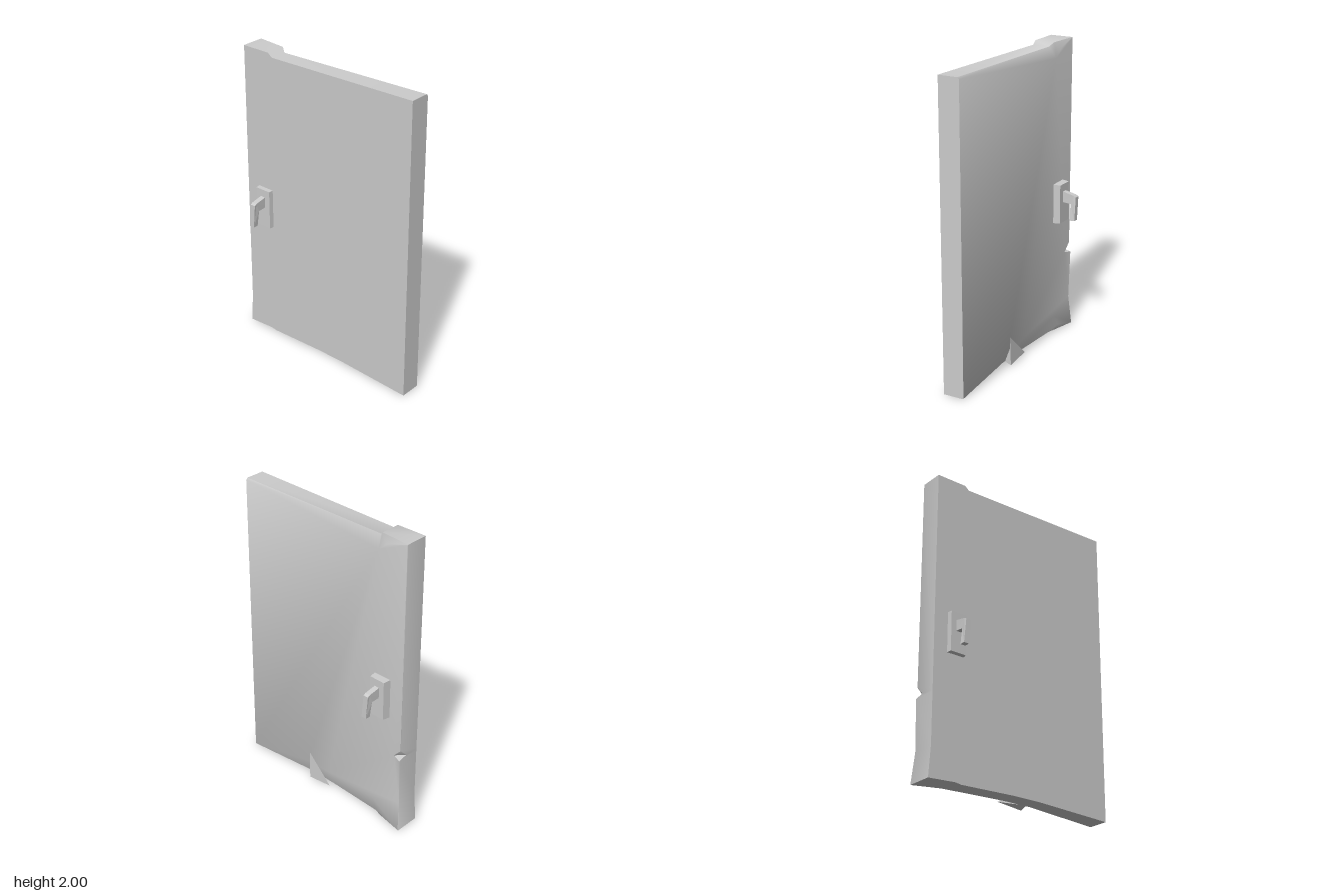
import * as THREE from 'three';
import { toCreasedNormals } from 'three/addons/utils/BufferGeometryUtils.js';

const grey = new THREE.MeshStandardMaterial({ color: 0xcccccc });

// Outline of the slab, counter-clockwise as seen from +x:
// [edge z, edge y, worn rim z, worn rim y, bevel depth, rim offset in x]
const outline = [
  [0.67, 0, 0.67, 0.005, 0.003, 0],
  [0.15, 0.02, 0.15, 0.12, 0.04, 0],
  [-0.05, 0.02, -0.05, 0.13, 0.04, 0],
  [-0.44, 0.006, -0.44, 0.13, 0.04, 0],
  [-0.48, 0.012, -0.5, 0.05, 0.02, 0],
  [-0.67, 0, -0.668, 0.004, 0.003, 0.01],
  [-0.656, 0.2, -0.654, 0.2, 0.003, -0.008],
  [-0.656, 0.53, -0.654, 0.53, 0.003, 0.003],
  [-0.656, 0.545, -0.6, 0.54, 0.05, -0.012],
  [-0.656, 0.6, -0.654, 0.6, 0.003, -0.008],
  [-0.656, 2, -0.654, 1.995, 0.003, -0.006],
  [-0.45, 2, -0.5, 1.95, 0.02, -0.004],
  [-0.42, 1.976, -0.44, 1.9, 0.04, -0.004],
  [0.67, 1.997, 0.67, 1.985, 0.01, 0],
];

const backX = (z) => -0.096 - 0.021 * z;
const frontX = (z) => 0.055 - 0.0375 * z;

// Slab: flat face, bevel line and worn rim joined as three loops
function slabGeometry() {
  const loops = [
    outline.map(([z, y]) => [backX(z), y, z]),
    outline.map(([z, y, , , bevel, dx]) => [frontX(z) + dx - bevel, y, z]),
    outline.map(([, , z, y, , dx]) => [frontX(z) + dx, y, z]),
  ];
  const n = outline.length;
  const index = [];
  for (let k = 0; k < 2; k++) {
    for (let i = 0; i < n; i++) {
      const j = (i + 1) % n;
      const a = k * n + i, b = k * n + j;
      index.push(a, b, b + n, a, b + n, a + n);
    }
  }
  const cap = (k) => THREE.ShapeUtils.triangulateShape(
    loops[k].map(([, y, z]) => new THREE.Vector2(-z, y)), []);
  for (const [a, b, c] of cap(0)) index.push(a, c, b);
  for (const [a, b, c] of cap(2)) index.push(a + 2 * n, b + 2 * n, c + 2 * n);
  const geo = new THREE.BufferGeometry();
  geo.setAttribute('position', new THREE.Float32BufferAttribute(loops.flat(2), 3));
  geo.setIndex(index);
  return toCreasedNormals(geo, 0.85);
}

// Splinter of full thickness left standing on the worn bottom edge
function splinterGeometry() {
  const geo = new THREE.BufferGeometry();
  geo.setAttribute('position', new THREE.Float32BufferAttribute([
    0.052, 0.2, 0.13,
    0.055, 0.003, 0.125,
    0.058, 0.022, -0.055,
    0, 0.02, 0.12,
  ], 3));
  geo.setIndex([0, 1, 2, 0, 3, 1, 1, 3, 2, 0, 2, 3]);
  return toCreasedNormals(geo, 0.1);
}

// Back plate with a slightly smaller outer face
function plateGeometry() {
  const geo = new THREE.BoxGeometry(0.07, 0.27, 0.13);
  const p = geo.attributes.position;
  for (let i = 0; i < p.count; i++) {
    if (p.getX(i) > 0) {
      p.setY(i, p.getY(i) * 0.97);
      p.setZ(i, p.getZ(i) * 0.86);
    }
  }
  geo.computeVertexNormals();
  return geo;
}

// Hooked lever: arm reaching out, grip hanging down and swinging sideways
function leverGeometry() {
  const shape = new THREE.Shape([
    [0.09, 0.945], [0.168, 0.94], [0.172, 0.83], [0.206, 0.832],
    [0.206, 0.99], [0.19, 1.0], [0.09, 1.02],
  ].map(([x, y]) => new THREE.Vector2(x, y)));
  const geo = new THREE.ExtrudeGeometry(shape, { depth: 0.036, bevelEnabled: false });
  geo.translate(0, 0, -0.018);
  const p = geo.attributes.position;
  for (let i = 0; i < p.count; i++) {
    p.setZ(i, p.getZ(i) + Math.max(0, 0.95 - p.getY(i)) * 0.12);
  }
  geo.computeVertexNormals();
  return geo;
}

export function createModel() {
  const model = new THREE.Group();
  model.name = 'door';
  const add = (parent, name, geo) => {
    const mesh = new THREE.Mesh(geo, grey);
    mesh.name = name;
    parent.add(mesh);
    return mesh;
  };
  add(model, 'doorSlab', slabGeometry());
  add(model, 'bottomSplinter', splinterGeometry());

  // One handle on each face
  const plate = plateGeometry(), lever = leverGeometry();
  for (const side of [1, -1]) {
    const handle = new THREE.Group();
    handle.name = side > 0 ? 'leftHandle' : 'rightHandle';
    add(handle, 'handlePlate', plate).position.set(0.076, 0.935, 0);
    add(handle, 'handleLever', lever);
    handle.position.set(side > 0 ? 0.003 : -0.005, 0, side > 0 ? -0.495 : -0.5);
    handle.rotation.y = side > 0 ? -0.05 : Math.PI;
    model.add(handle);
  }
  return model;
}
